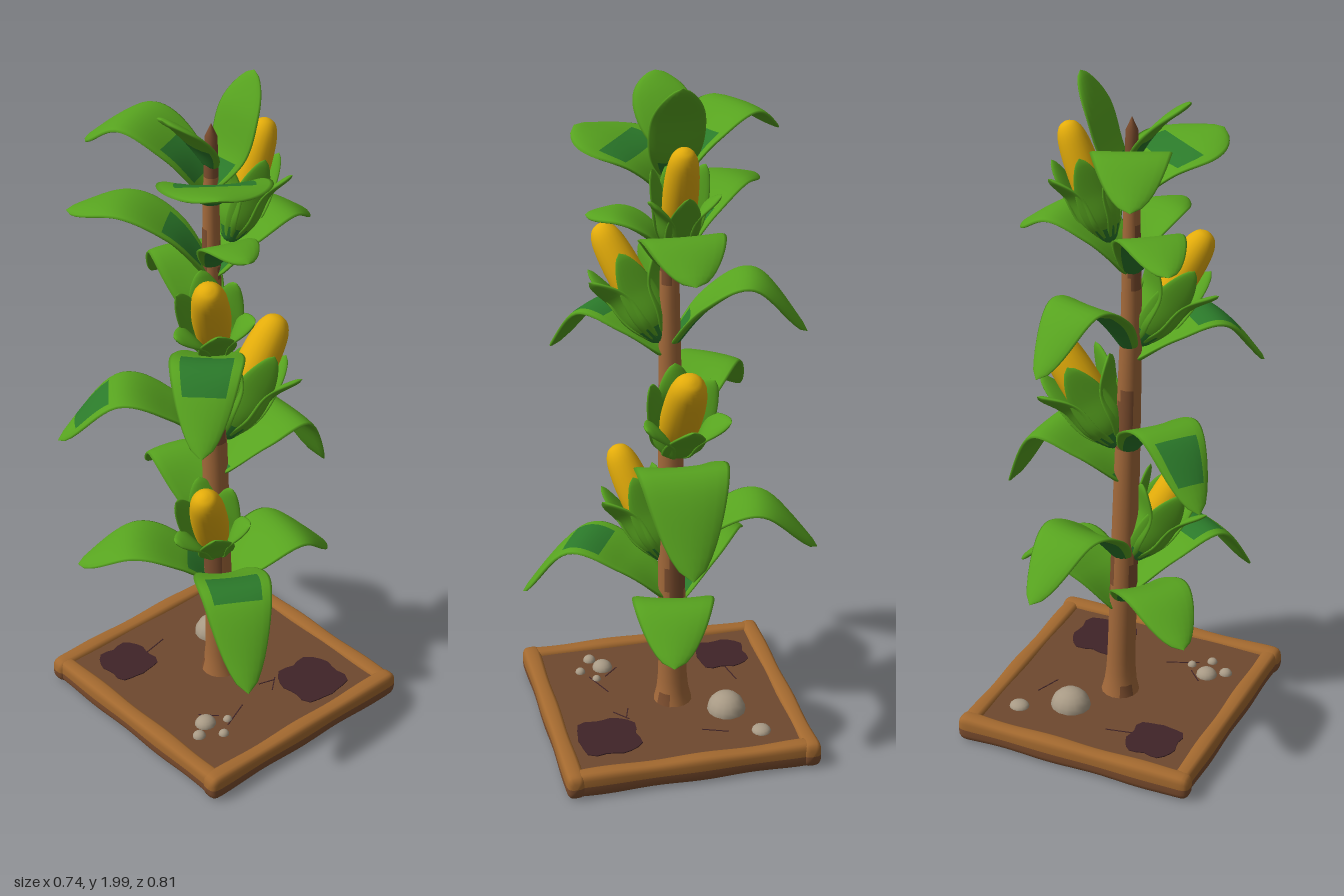
import * as THREE from 'three';

const mat = (name, color) => new THREE.MeshStandardMaterial({ name, color });
const M = {
  leaf: mat('leafGreen', 0x57a31f),
  dark: mat('deepGreen', 0x2b7a2a),
  corn: mat('cornYellow', 0xe3ac0a),
  wood: mat('woodBrown', 0xa3692f),
  stalk: mat('stalkBrown', 0xa3693a),
  bark: mat('barkBrown', 0x7c4d2e),
  soil: mat('soilBrown', 0x6e482e),
  wet: mat('wetSoil', 0x402428),
  stone: mat('stoneGrey', 0xa89a85),
};

// Closed skin through rings; point(t, angle) gives a position, pick(t, angle) a material slot
function loft(rows, cols, point, pick = () => 0) {
  const pos = [], slots = [[], []];
  for (let i = 0; i <= rows; i++)
    for (let j = 0; j < cols; j++) pos.push(...point(i / rows, (j / cols) * Math.PI * 2));
  for (let i = 0; i < rows; i++)
    for (let j = 0; j < cols; j++) {
      const a = i * cols + j, d = i * cols + ((j + 1) % cols), b = a + cols, c = d + cols;
      slots[pick((i + 0.5) / rows, ((j + 0.5) / cols) * Math.PI * 2)].push(a, b, c, a, c, d);
    }
  const g = new THREE.BufferGeometry();
  g.setAttribute('position', new THREE.Float32BufferAttribute(pos, 3));
  g.setIndex([...slots[0], ...slots[1]]);
  g.addGroup(0, slots[0].length, 0);
  g.addGroup(slots[0].length, slots[1].length, 1);
  g.computeVertexNormals();
  return g;
}

function add(parent, name, geometry, material, x = 0, y = 0, z = 0) {
  const mesh = new THREE.Mesh(geometry, material);
  mesh.name = name;
  mesh.position.set(x, y, z);
  parent.add(mesh);
  return mesh;
}

// Thick blunt blade following [out, up] points, cupped at the root and drooping at the tip.
// topPatch and underPatch are the [from, to] spans of the darker midrib patches.
function blade(points, width, thick, cup, topPatch, underPatch) {
  const curve = new THREE.CatmullRomCurve3(points.map(([r, y]) => new THREE.Vector3(r, y, 0)));
  const inside = (t, [from, to]) => t > from && t < to;
  return loft(28, 16, (t, a) => {
    const c = curve.getPoint(t), k = curve.getTangent(t);
    const end = Math.sqrt(Math.max(0, 1 - Math.pow(t, 14))) * Math.min(1, t * 20);
    const w = width * Math.pow(Math.max(0, Math.sin(Math.PI * Math.pow(t, 1.25))), 0.6)
      + 0.015 * (1 - t) * Math.min(1, t * 20);
    const s = Math.cos(a);
    const h = thick * Math.sin(a) * end + cup * w * s * s * (1 - 1.35 * t);
    return [c.x - k.y * h, c.y + k.x * h, w * s];
  }, (t, a) => (Math.abs(Math.cos(a)) < 0.7 && inside(t, a > Math.PI ? underPatch : topPatch) ? 1 : 0));
}

const stemX = y => -0.035 * Math.min(1, y / 1.3);

export function createModel() {
  const model = new THREE.Group();
  model.name = 'cornPlant';

  // Planter frame of four lumpy rounded beams, darker below
  const tray = new THREE.Group();
  tray.name = 'tray';
  model.add(tray);
  const beam = (half, phase, flare) => loft(36, 20, (t, a) => {
    const u = -Math.cos(Math.PI * t);
    const cap = Math.pow(Math.max(0, 1 - Math.pow(Math.abs(u), 40)), 0.4);
    const swell = (1 + 0.05 * Math.sin(u * 8 + phase) + flare * Math.pow(u, 8)) * cap;
    const sq = v => Math.sign(v) * Math.pow(Math.abs(v), 0.6);
    return [u * half, sq(Math.sin(a)) * 0.037 * swell, sq(Math.cos(a)) * 0.026 * swell];
  }, (t, a) => (Math.sin(a) < 0.1 ? 1 : 0));
  const woods = [M.wood, M.bark];
  add(tray, 'backBeam', beam(0.368, 0, 0.1), woods, -0.005, 0.047, -0.33);
  add(tray, 'frontBeam', beam(0.368, 2, 0.1), woods, -0.005, 0.047, 0.363);
  add(tray, 'rightBeam', beam(0.365, 4, 0), woods, -0.341, 0.047, 0.017).rotation.y = Math.PI / 2;
  add(tray, 'leftBeam', beam(0.365, 1, 0), woods, 0.33, 0.047, 0.017).rotation.y = Math.PI / 2;
  add(tray, 'soil', new THREE.BoxGeometry(0.67, 0.042, 0.69), M.soil, -0.005, 0.051, 0.017);

  // Damp patches with wavy outlines, above and below the soil
  for (const [x, z, r] of [[0.16, 0.23, 0.095], [-0.2, -0.2, 0.08]]) {
    const shape = new THREE.Shape();
    for (let i = 0; i < 24; i++) {
      const a = (i / 24) * Math.PI * 2;
      const q = r * (1 + 0.1 * Math.cos(4 * a + Math.PI) + 0.05 * Math.sin(7 * a));
      shape[i ? 'lineTo' : 'moveTo'](q * Math.cos(a), q * Math.sin(a));
    }
    const plate = new THREE.ExtrudeGeometry(shape, { depth: 0.004, bevelEnabled: false });
    for (const y of [0.071, 0.027]) add(tray, 'dampPatch', plate, M.wet, x, y, z).rotation.x = -Math.PI / 2;
  }
  // Soil cracks
  for (const [x, z, len, turn] of [[0.06, 0.17, 0.06, 0.7], [0.05, 0.15, 0.05, -0.3], [-0.12, 0.2, 0.1, 0.4],
    [-0.18, 0.15, 0.06, -0.8], [0.2, -0.08, 0.08, 1.2], [-0.1, -0.2, 0.1, 0.2]])
    add(tray, 'crack', new THREE.BoxGeometry(len, 0.003, 0.003), M.wet, x, 0.072, z).rotation.y = turn;
  // Stones
  for (const [x, z, r, h] of [[0.095, -0.14, 0.06, 0.055], [0.23, -0.21, 0.03, 0.018], [-0.21, 0.17, 0.032, 0.025],
    [-0.26, 0.2, 0.02, 0.018], [-0.2, 0.24, 0.016, 0.015], [-0.15, 0.2, 0.014, 0.014]])
    add(tray, 'stone', new THREE.SphereGeometry(r, 14, 10), M.stone, x, 0.071, z).scale.set(1, h / r, 0.95);

  // Tapering stalk, flared at the root, with darker patches
  add(model, 'stalk', loft(48, 16, (t, a) => {
    const y = 0.07 + 1.82 * t;
    const r = t > 0.999 ? 0 : 0.041 - 0.025 * t * t + 0.016 * Math.exp(-t * 40);
    return [stemX(y) + r * Math.cos(a), y, r * Math.sin(a)];
  }, (t, a) => (Math.sin(t * 23 - 3.8) + 0.6 * Math.sin(a * 2 + t * 9) > 0.8 || t > 0.92 ? 1 : 0)), [M.stalk, M.bark]);

  // Leaves: tip x, tip z, root height, crest height, tip height, half width, dark patch span
  const greens = [M.leaf, M.dark];
  const leaves = [
    [0.355, 0.08, 0.34, 0.51, 0.40, 0.11, 0, 0.1],
    [-0.25, 0.40, 0.40, 0.56, 0.35, 0.1, 0.5, 0.72],
    [-0.32, -0.27, 0.38, 0.54, 0.46, 0.095, 0, 0.3],
    [0.085, -0.41, 0.52, 0.72, 0.58, 0.09, 0, 0.2],
    [0.37, 0.03, 0.78, 0.92, 0.68, 0.125, 0, 0.1],
    [-0.365, -0.28, 0.88, 1.07, 0.91, 0.09, 0.72, 0.88],
    [-0.32, 0.285, 1.17, 1.28, 1.11, 0.095, 0.5, 0.8],
    [0.075, -0.365, 1.2, 1.41, 1.26, 0.085, 0, 0.2],
    [0.305, 0.01, 1.43, 1.59, 1.52, 0.11, 0, 0.15],
    [-0.28, -0.31, 1.43, 1.63, 1.6, 0.085, 0.1, 0.4],
    [-0.1, 0.22, 1.46, 1.59, 1.59, 0.07, 0, 0.2],
    [-0.185, -0.34, 1.66, 1.86, 1.77, 0.1, 0.15, 0.4],
    [-0.205, 0.225, 1.65, 1.78, 1.81, 0.145, 0.38, 0.66],
  ];
  for (const [x, z, root, crest, tip, width, from, to] of leaves) {
    const sx = stemX(root), reach = Math.hypot(x - sx, z);
    const path = [[0, root], [reach * 0.28, root + (crest - root) * 0.66], [reach * 0.6, crest], [reach, tip]];
    add(model, 'leaf', blade(path, width, 0.011, 0.38, [from, to], [0, 0.45]), greens, sx)
      .rotation.y = Math.atan2(-z, x - sx);
  }
  // Upright crown leaves
  add(model, 'crownLeaf', blade([[0, 1.7], [0.06, 1.78], [0.1, 1.9], [0.15, 1.995]], 0.072, 0.01, 0.12,
    [0, 0.3], [0, 0.3]), greens, -0.035);
  add(model, 'crownLeaf', blade([[0, 1.76], [0.04, 1.83], [0.1, 1.9], [0.165, 1.95]], 0.075, 0.01, 0.12,
    [0, 0.1], [0, 0.4]), greens, -0.035).rotation.y = Math.PI;

  // Ears of corn in flaring husks: root point, tip point, size
  const cobProfile = [[0, 0.02], [0.04, 0.05], [0.053, 0.13], [0.056, 0.2], [0.053, 0.27], [0.045, 0.32],
    [0.03, 0.348], [0.012, 0.358], [0, 0.36]];
  const smooth = new THREE.SplineCurve(cobProfile.map(p => new THREE.Vector2(...p))).getPoints(28);
  smooth.forEach(p => { p.x = Math.max(0, p.x); });
  const ears = [
    [[-0.03, 0.53, 0.01], [-0.175, 0.845, 0.13], 0.95],
    [[0, 0.9, 0], [0.22, 1.215, 0], 1.05],
    [[-0.04, 1.22, 0.02], [-0.19, 1.525, 0.165], 0.95],
    [[0.03, 1.52, 0], [0.16, 1.845, 0.005], 0.85],
  ];
  for (const [from, to, size] of ears) {
    const ear = new THREE.Group();
    ear.name = 'ear';
    ear.position.set(...from);
    const axis = new THREE.Vector3(...to).sub(ear.position);
    ear.scale.set(size, axis.length() / 0.36, size);
    ear.quaternion.setFromUnitVectors(new THREE.Vector3(0, 1, 0), axis.normalize());
    model.add(ear);
    add(ear, 'cob', new THREE.LatheGeometry(smooth, 20), M.corn);
    add(ear, 'earStem', loft(8, 12, (t, g) => {
      const r = 0.012 + 0.045 * Math.sin(t * 1.4);
      return [r * Math.cos(g), t * 0.12, r * Math.sin(g)];
    }), greens);
    for (let i = 0; i < 6; i++) {
      const flare = i % 2 ? 0.13 : 0.1, top = i % 2 ? 0.235 : 0.265;
      add(ear, 'husk', blade([[0.012, 0], [0.055, 0.07], [0.073, 0.16], [flare, top]], 0.05, 0.009, 0.25,
        [0, 0.2], [0, 0.25]), greens).rotation.y = (i * Math.PI) / 3;
    }
  }
  return model;
}
